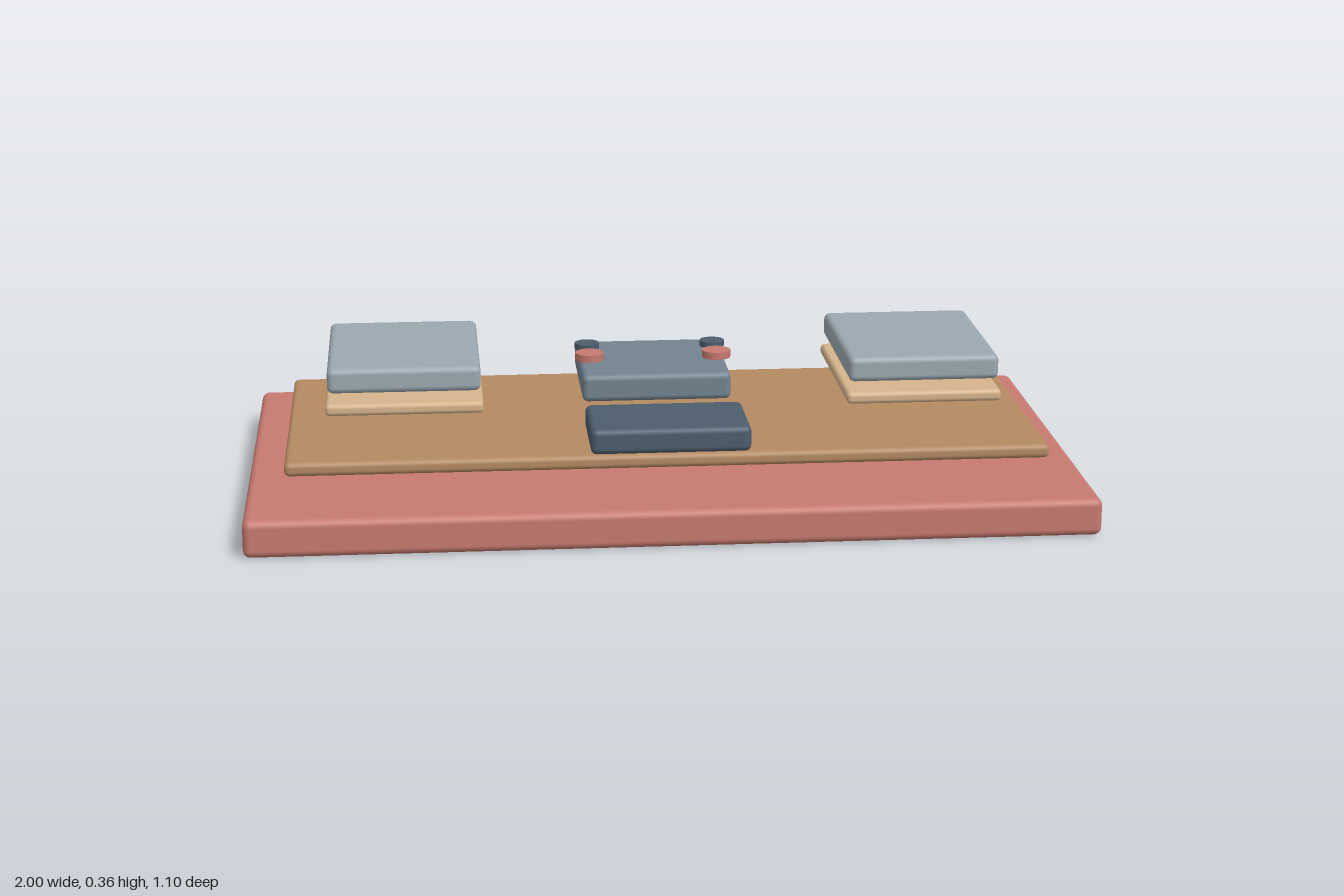
import * as THREE from 'three';
import { RoundedBoxGeometry } from 'three/addons/geometries/RoundedBoxGeometry.js';

const material = (name, color) => {
  const m = new THREE.MeshStandardMaterial({ color });
  m.name = name;
  return m;
};

export function createModel() {
  const model = new THREE.Group();
  model.name = 'layeredBoard';

  const coral = material('coral', 0xc77a70);
  const brown = material('brown', 0xb48a62);
  const sand = material('sand', 0xd6b48c);
  const paleGrey = material('paleGrey', 0x9ba8b1);
  const slate = material('slate', 0x738490);
  const navy = material('navy', 0x4c5d6e);

  // Rounded slab given by its extents on each axis
  const slab = (name, mat, [x0, x1], [y0, y1], [z0, z1], radius) => {
    const geometry = new RoundedBoxGeometry(x1 - x0, y1 - y0, z1 - z0, 3, radius);
    const mesh = new THREE.Mesh(geometry, mat);
    mesh.name = name;
    mesh.position.set((x0 + x1) / 2, (y0 + y1) / 2, (z0 + z1) / 2);
    model.add(mesh);
  };

  // Short upright disc
  const disc = (name, mat, radius, x, [y0, y1], z) => {
    const mesh = new THREE.Mesh(new THREE.CylinderGeometry(radius, radius, y1 - y0, 24), mat);
    mesh.name = name;
    mesh.position.set(x, (y0 + y1) / 2, z);
    model.add(mesh);
  };

  // Base and floating mat
  slab('base', coral, [-1, 1], [0, 0.09], [-0.55, 0.55], 0.018);
  slab('mat', brown, [-0.908, 0.908], [0.138, 0.172], [-0.371, 0.371], 0.013);

  // Central blocks
  slab('frontBlock', navy, [-0.19, 0.19], [0.179, 0.241], [0.164, 0.391], 0.015);
  slab('rearBlock', slate, [-0.185, 0.185], [0.192, 0.261], [-0.355, -0.014], 0.015);

  for (const side of [-1, 1]) {
    const prefix = side > 0 ? 'left' : 'right';
    const span = (a, b) => (side > 0 ? [a, b] : [-b, -a]);

    // Side pads: thin tray under a thicker cushion
    slab(prefix + 'Tray', sand, span(0.436, 0.812), [0.248, 0.277], [-0.22, 0.251], 0.011);
    slab(prefix + 'Cushion', paleGrey, span(0.442, 0.806), [0.3, 0.361], [-0.211, 0.241], 0.015);

    // Buttons over the rear block
    disc(prefix + 'FrontButton', coral, 0.036, side * 0.16, [0.27, 0.288], -0.139);
    disc(prefix + 'RearButton', navy, 0.031, side * 0.16, [0.27, 0.285], -0.246);
  }

  return model;
}
